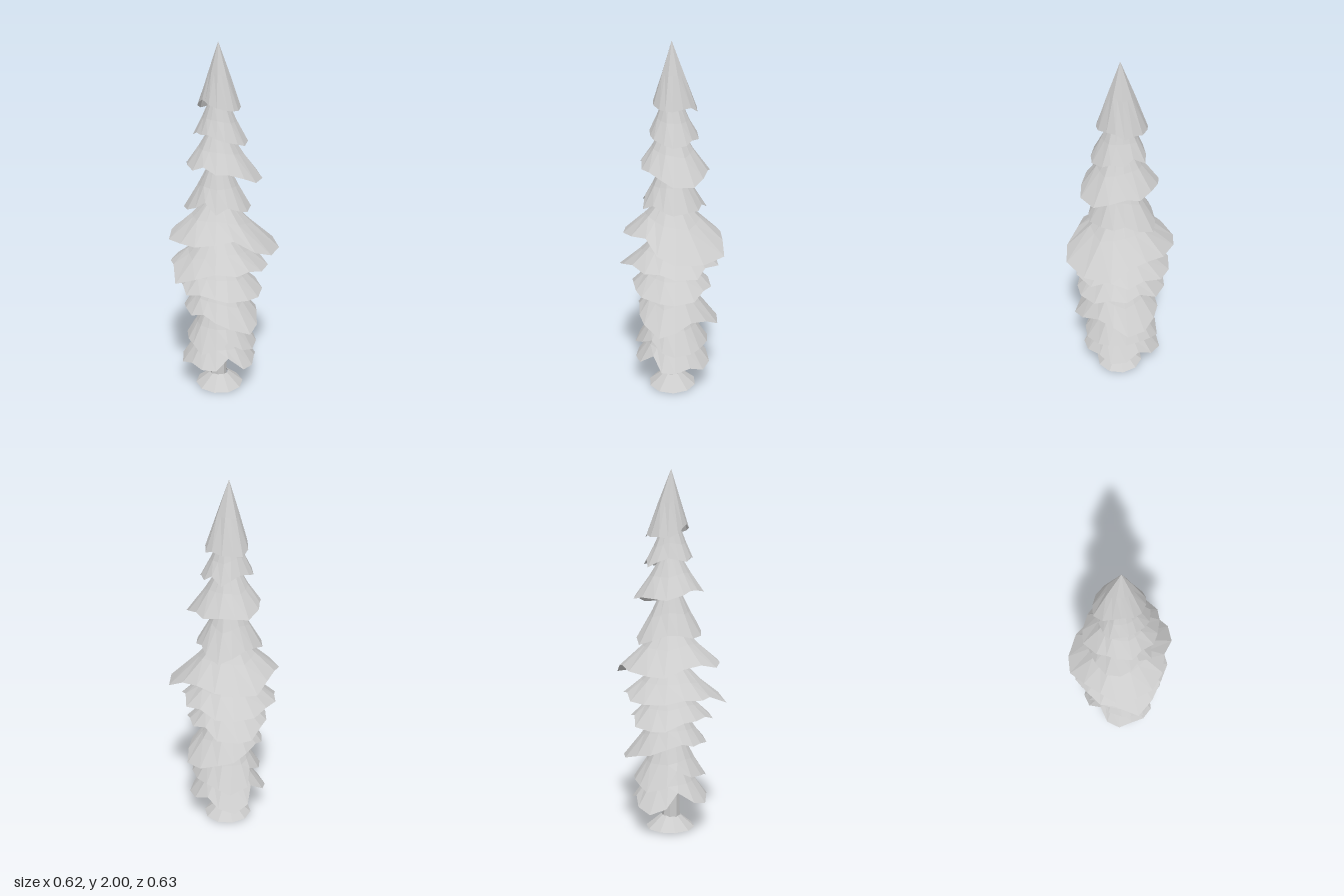
import * as THREE from 'three';

const SEG = 16;
const DROOP = 1.2;
const CENTRE = new THREE.Vector3(-0.005, 0, -0.015);

// Each tier: neck height, mean rim height, and rim radius every 45 degrees from +x towards +z
const TIERS = [
  { top: 2.0, rim: 1.66, r: [0.125, 0.11, 0.09, 0.1, 0.145, 0.14, 0.14, 0.12] },
  { top: 1.69, rim: 1.5, r: [0.155, 0.13, 0.12, 0.135, 0.12, 0.16, 0.15, 0.16] },
  { top: 1.54, rim: 1.32, r: [0.21, 0.185, 0.18, 0.17, 0.21, 0.2, 0.2, 0.24] },
  { top: 1.35, rim: 1.11, r: [0.175, 0.18, 0.165, 0.19, 0.175, 0.22, 0.17, 0.18] },
  { top: 1.16, rim: 0.93, r: [0.3, 0.255, 0.27, 0.26, 0.305, 0.29, 0.29, 0.34] },
  { top: 0.94, rim: 0.77, r: [0.255, 0.25, 0.31, 0.27, 0.28, 0.28, 0.27, 0.28] },
  { top: 0.8, rim: 0.63, r: [0.25, 0.23, 0.235, 0.22, 0.255, 0.25, 0.23, 0.25] },
  { top: 0.67, rim: 0.47, r: [0.27, 0.21, 0.2, 0.195, 0.2, 0.24, 0.27, 0.22] },
  { top: 0.51, rim: 0.3, r: [0.21, 0.195, 0.19, 0.18, 0.215, 0.22, 0.21, 0.22] },
  { top: 0.38, rim: 0.18, r: [0.22, 0.21, 0.2, 0.205, 0.22, 0.23, 0.225, 0.21] },
];

// Small seeded generator, returning -1 to 1
function seeded(seed) {
  let s = seed * 104729 + 17;
  return () => {
    s = (s * 16807) % 2147483647;
    return (s / 2147483647) * 2 - 1;
  };
}

// Faceted surface through rings of equal length
function loft(rings) {
  const pos = [], index = [];
  const n = rings[0].length;
  rings.forEach((ring) => ring.forEach((p) => pos.push(p.x, p.y, p.z)));
  for (let r = 0; r < rings.length - 1; r++) {
    for (let i = 0; i < n; i++) {
      const a = r * n + i, b = r * n + ((i + 1) % n);
      index.push(a, b, a + n, b, b + n, a + n);
    }
  }
  const indexed = new THREE.BufferGeometry();
  indexed.setAttribute('position', new THREE.Float32BufferAttribute(pos, 3));
  indexed.setIndex(index);
  const flat = indexed.toNonIndexed();
  flat.computeVertexNormals();
  return flat;
}

// Ragged open skirt of branches: neck, flared middle, jagged rim
function skirt({ top, rim, r }, neck, ragged, seed) {
  const rnd = seeded(seed);
  const mean = r.reduce((sum, v) => sum + v, 0) / r.length;
  const flare = neck === 0 ? 0.5 : 0.45;
  const rings = [[], [], []];
  const put = (ring, radius, height, angle) =>
    ring.push(new THREE.Vector3(Math.cos(angle) * radius, height, Math.sin(angle) * radius).add(CENTRE));
  for (let i = 0; i < SEG; i++) {
    const angle = (i / SEG) * Math.PI * 2;
    const tip = i % 2 === 0;
    const radius = (r[Math.floor(i / 2)] + r[Math.ceil(i / 2) % r.length]) / 2;
    // Between the main tips the branches are cut shorter or hang longer
    const reach = 1 + (tip ? 0 : ragged * (rnd() - 0.35));
    const swing = tip ? 0 : 0.1 * rnd();
    // Longer branches droop lower
    const out = radius - neck;
    const fall = rim - DROOP * (radius - mean) - top;
    put(rings[0], neck, top, angle);
    put(rings[1], neck + out * flare * (tip ? 1.04 : 0.96), top + fall * 0.5, angle);
    put(rings[2], neck + out * reach, top + fall * reach, angle + swing);
  }
  return loft(rings);
}

export function createModel() {
  const tree = new THREE.Group();
  tree.name = 'firTree';
  const material = new THREE.MeshStandardMaterial({
    color: 0xcccccc, flatShading: true, side: THREE.DoubleSide,
  });
  const add = (geometry, name) => {
    const mesh = new THREE.Mesh(geometry, material);
    mesh.name = name;
    tree.add(mesh);
    return mesh;
  };

  // Trunk, tapering up into the crown
  add(new THREE.CylinderGeometry(0.03, 0.05, 1.62, 8), 'trunk').position.set(CENTRE.x, 0.87, CENTRE.z);

  // Flared root collar, hollow underneath
  const collar = add(new THREE.CylinderGeometry(0.05, 0.138, 0.072, 10, 1, true), 'rootFlare');
  collar.position.set(0, 0.039, -0.02);
  collar.rotation.z = -0.02;

  // Branch tiers from the tip down: wider necks below, most ragged at the bottom
  TIERS.forEach((tier, i) => {
    const neck = i === 0 ? 0 : i < 5 ? 0.05 : 0.08;
    const ragged = i === 0 ? 0.05 : i < 8 ? 0.15 : 0.32;
    add(skirt(tier, neck, ragged, i + 1), i === 0 ? 'treeTip' : `branchTier${i}`);
  });
  return tree;
}
